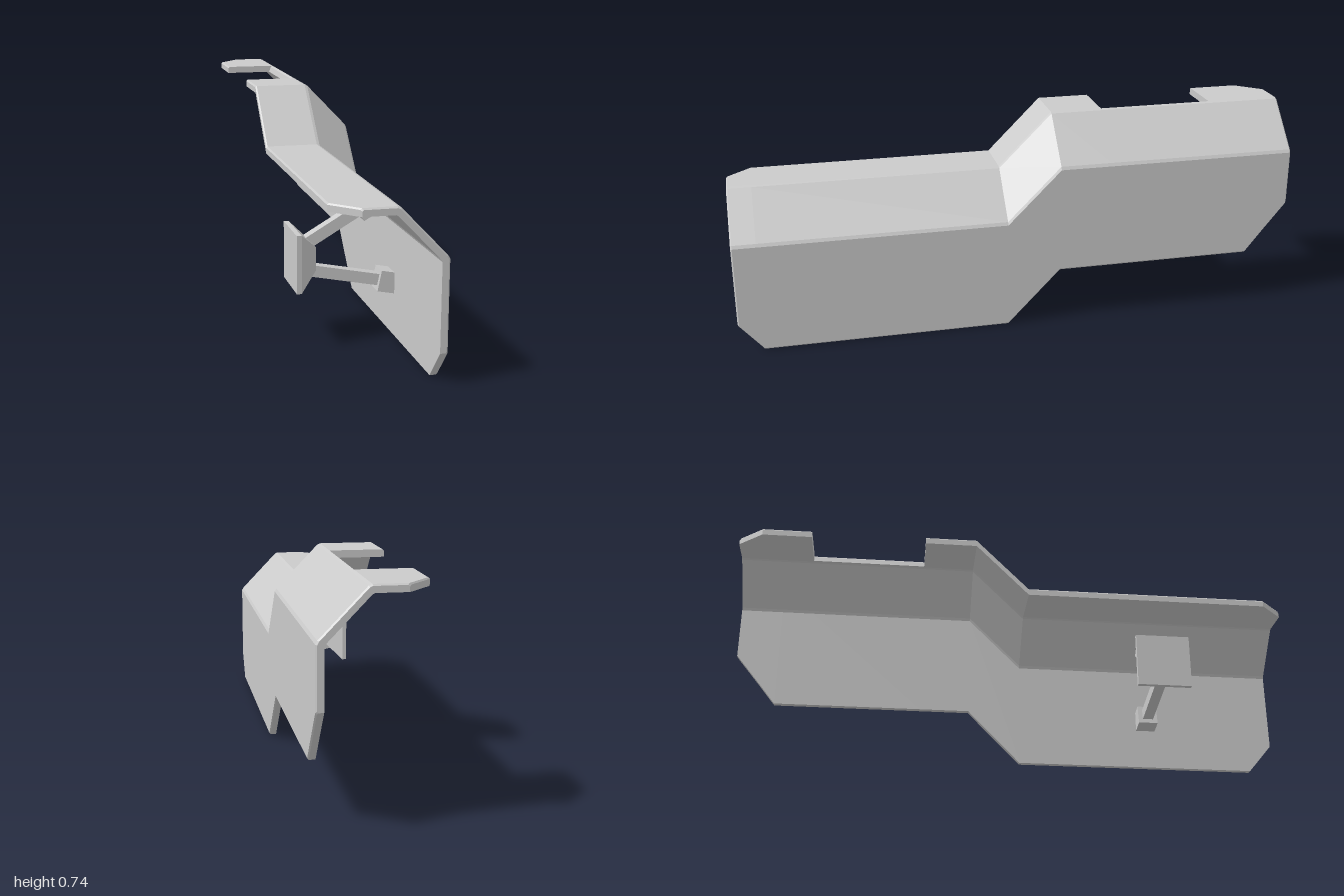
import * as THREE from 'three';

const material = new THREE.MeshStandardMaterial({ color: 0xcccccc, flatShading: true, side: THREE.DoubleSide });

function addMesh(parent, name, geometry) {
  const flat = geometry.index ? geometry.toNonIndexed() : geometry;
  flat.computeVertexNormals();
  const mesh = new THREE.Mesh(flat, material);
  mesh.name = name;
  parent.add(mesh);
  return mesh;
}

// Stations from front to back: z, flange edge x, wall bottom y (before the step), edge bevel amount
const EDGE = -0.165, CUT = 0.015;
const stations = [
  [1, -0.085, 0.1, 0.2],
  [0.995, -0.09, 0.094, 0],
  [0.915, EDGE, 0, 0],
  [0.05, EDGE, 0, 0],
  [-0.14, EDGE, 0.005, 0],
  [-0.325, EDGE, 0.005, 0],
  [-0.325, CUT, 0.005, 0],
  [-0.735, CUT, 0.005, 0],
  [-0.735, EDGE, 0.005, 0],
  [-0.85, EDGE, 0.005, 0],
  [-0.91, EDGE, 0.08, 0],
  [-0.995, -0.09, 0.184, 0],
  [-1, -0.085, 0.19, 0.2],
];

// Folded cross-section: flange, slope and side wall, outer face then inner face
function section([z, edge, bottom, bevel]) {
  const lift = 0.19 * THREE.MathUtils.clamp((0.05 - z) / 0.19, 0, 1);
  const outer = [
    [edge, 0.545], [edge + 0.005, 0.55], [0.02, 0.55], [0.03, 0.546],
    [0.174, 0.396], [0.18, 0.385], [0.18, bottom + 0.005], [0.175, bottom],
  ];
  const inner = [
    [Math.min(edge, 0.008), 0.525], [Math.min(edge + 0.005, 0.013), 0.525], [0.014, 0.525], [0.021, 0.521],
    [0.15, 0.387], [0.155, 0.378], [0.155, bottom + 0.005], [0.155, bottom],
  ];
  const place = ([x, y]) => new THREE.Vector3(x, y + lift, z);
  const innerPts = inner.map(place);
  const outerPts = outer.map((p, i) => place(p).lerp(innerPts[i], bevel));
  return [...outerPts, ...innerPts.reverse()];
}

function shellGeometry() {
  const loops = stations.map(section);
  const n = loops[0].length;
  const positions = [];
  const tri = (a, b, c) => {
    const area = new THREE.Triangle(a, b, c).getArea();
    if (area > 1e-9) for (const p of [a, b, c]) positions.push(p.x, p.y, p.z);
  };
  const quad = (a, b, c, d) => { tri(a, b, c); tri(a, c, d); };

  // Skin between neighbouring stations
  for (let k = 0; k < loops.length - 1; k++) {
    for (let i = 0; i < n; i++) {
      const j = (i + 1) % n;
      quad(loops[k][i], loops[k][j], loops[k + 1][j], loops[k + 1][i]);
    }
  }
  // End caps
  const first = loops[0], last = loops[loops.length - 1];
  for (let i = 0; i < n / 2 - 1; i++) {
    quad(first[i], first[n - 1 - i], first[n - 2 - i], first[i + 1]);
    quad(last[i], last[i + 1], last[n - 2 - i], last[n - 1 - i]);
  }
  const geometry = new THREE.BufferGeometry();
  geometry.setAttribute('position', new THREE.Float32BufferAttribute(positions, 3));
  return geometry;
}

// Arm and its socket, meeting at a joint; the socket runs into the shell
function addStrut(parent, name, x, y, angle, armLength, socketLength) {
  const strut = new THREE.Group();
  strut.name = name;
  strut.position.set(x, y, 0);
  strut.rotation.z = angle;
  addMesh(strut, 'arm', new THREE.BoxGeometry(armLength, 0.038, 0.038).translate(-armLength / 2, 0, 0));
  addMesh(strut, 'socket', new THREE.BoxGeometry(socketLength, 0.07, 0.07).translate(socketLength / 2, 0, 0));
  parent.add(strut);
}

export function createModel() {
  const model = new THREE.Group();
  model.name = 'armourPlate';
  addMesh(model, 'shell', shellGeometry());

  const mount = new THREE.Group();
  mount.name = 'mount';
  mount.position.z = 0.525;
  model.add(mount);

  // Square tapered pad facing inward
  const profile = [[0, -0.185], [0.095, -0.185], [0.095, -0.169], [0.091, -0.165], [0.042, -0.113], [0.038, -0.109], [0, -0.109]]
    .map(([half, along]) => new THREE.Vector2(half * Math.SQRT2, along));
  const pad = new THREE.LatheGeometry(profile, 4, Math.PI / 4);
  pad.rotateZ(-Math.PI / 2).translate(0, 0.28, 0);
  addMesh(mount, 'pad', pad);

  addStrut(mount, 'upperStrut', 0.033, 0.424, 0.53, 0.2, 0.072);
  addStrut(mount, 'lowerStrut', 0.105, 0.189, -0.2, 0.24, 0.062);
  return model;
}
